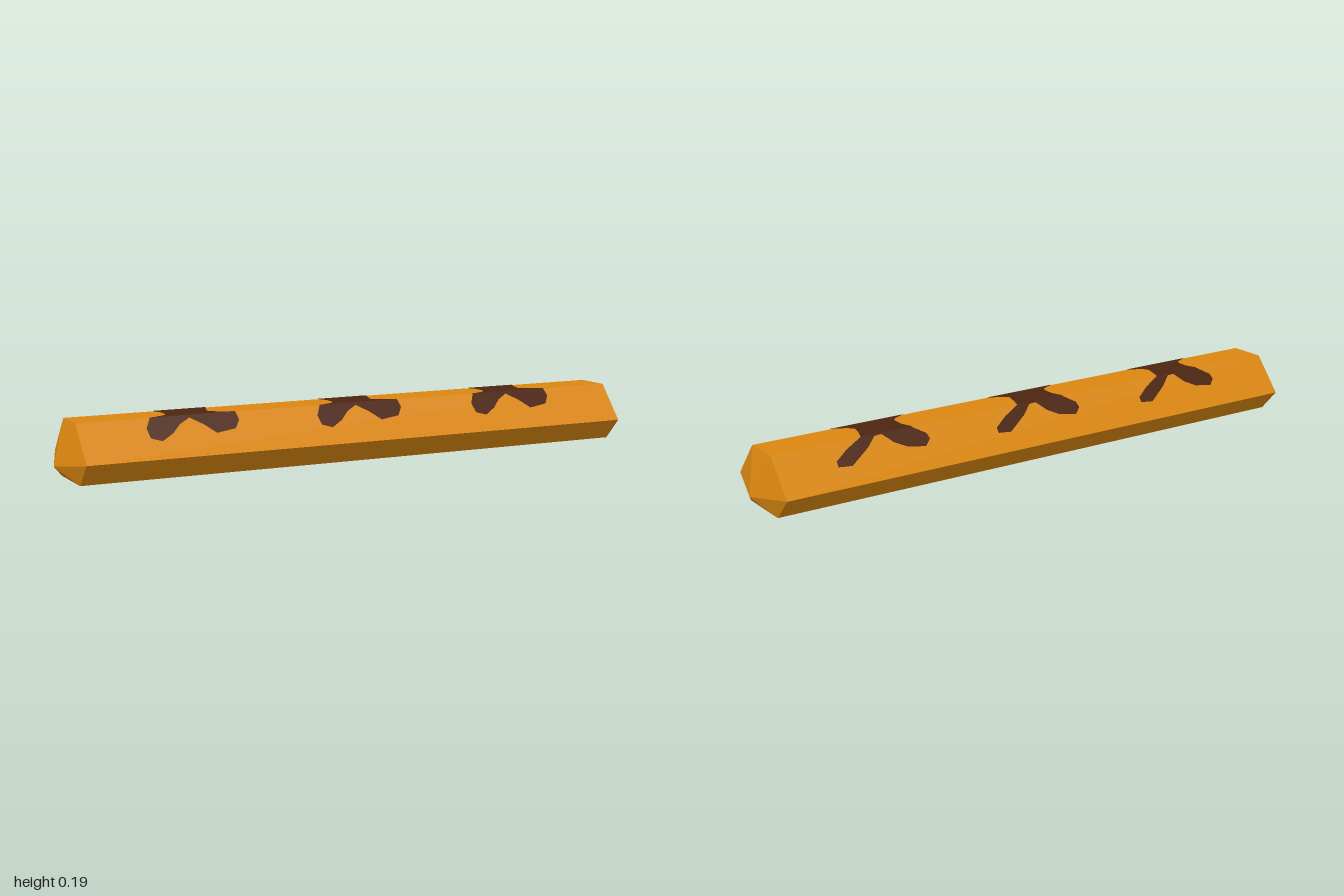
import * as THREE from 'three';

// half section of the bar: [z, y], counter-clockwise seen from -x
const SECTION = [[-0.09, 0.006], [0.09, 0.006], [0.156, 0.077], [0.06, 0.19], [-0.06, 0.19], [-0.156, 0.077]];
const X0 = -0.948, X1 = 0.955, TIP_Y = 0.054;

// outlines of one blotch in plan [x, z], one per face it lies on
const BLOTCH = {
  Top: [[-0.09, -0.06], [-0.075, -0.02], [-0.075, 0.02], [-0.085, 0.038], [-0.13, 0.06],
    [0.13, 0.06], [0.085, 0.038], [0.065, 0.02], [0.075, -0.02], [0.09, -0.06]],
  Front: [[-0.14, 0.06], [-0.16, 0.085], [-0.155, 0.108], [-0.12, 0.116], [-0.08, 0.1], [-0.05, 0.08],
    [-0.015, 0.067], [0.025, 0.085], [0.06, 0.107], [0.125, 0.1], [0.145, 0.08], [0.14, 0.06]],
  Back: [[-0.085, -0.06], [-0.128, -0.08], [-0.133, -0.093], [-0.11, -0.107], [-0.05, -0.1], [-0.01, -0.085],
    [0.02, -0.063], [0.045, -0.064], [0.08, -0.085], [0.15, -0.115], [0.195, -0.112], [0.195, -0.1],
    [0.15, -0.08], [0.09, -0.06]],
};

function barGeometry() {
  const pos = [];
  const n = SECTION.length;
  const at = (x, i) => [x, SECTION[i % n][1], SECTION[i % n][0]];
  for (let i = 0; i < n; i++) {
    const a = at(X0, i), b = at(X1, i), c = at(X1, i + 1), d = at(X0, i + 1);
    pos.push(...a, ...b, ...c, ...a, ...c, ...d);
    // pointed ends
    pos.push(-1, TIP_Y, 0, ...a, ...d);
    pos.push(1, TIP_Y, 0, ...c, ...b);
  }
  const g = new THREE.BufferGeometry();
  g.setAttribute('position', new THREE.Float32BufferAttribute(pos, 3));
  g.computeVertexNormals();
  return g;
}

// flat patch laid onto the upper faces, just above the surface
function patchGeometry(outline) {
  const g = new THREE.ShapeGeometry(new THREE.Shape(outline.map(([x, z]) => new THREE.Vector2(x, -z))));
  g.rotateX(-Math.PI / 2);
  const p = g.attributes.position;
  for (let i = 0; i < p.count; i++) {
    const drop = Math.max(0, Math.abs(p.getZ(i)) - 0.06) * (0.113 / 0.096);
    p.setY(i, 0.1915 - drop);
  }
  g.computeVertexNormals();
  return g;
}

export function createModel() {
  const orange = new THREE.MeshStandardMaterial({ color: 0xdb8710 });
  orange.name = 'orange';
  orange.flatShading = true;
  const brown = new THREE.MeshStandardMaterial({ color: 0x4c2511 });
  brown.name = 'dark brown';
  const grey = new THREE.MeshStandardMaterial({ color: 0xe6e6e6 });
  grey.name = 'pale grey';

  const model = new THREE.Group();
  model.name = 'spottedBar';
  const add = (parent, geometry, material, name) => {
    const mesh = new THREE.Mesh(geometry, material);
    mesh.name = name;
    parent.add(mesh);
    return mesh;
  };

  add(model, barGeometry(), orange, 'bar');

  // three blotches along the top
  [-0.575, -0.003, 0.566].forEach((x, i) => {
    const blotch = new THREE.Group();
    blotch.name = `blotch${i + 1}`;
    blotch.position.x = x;
    for (const [face, outline] of Object.entries(BLOTCH)) add(blotch, patchGeometry(outline), brown, `blotch${face}`);
    model.add(blotch);
  });

  // base plate underneath
  const base = add(model, new THREE.PlaneGeometry(X1 - X0, 0.18), grey, 'basePlate');
  base.rotation.x = Math.PI / 2;
  base.position.x = (X0 + X1) / 2;

  return model;
}
